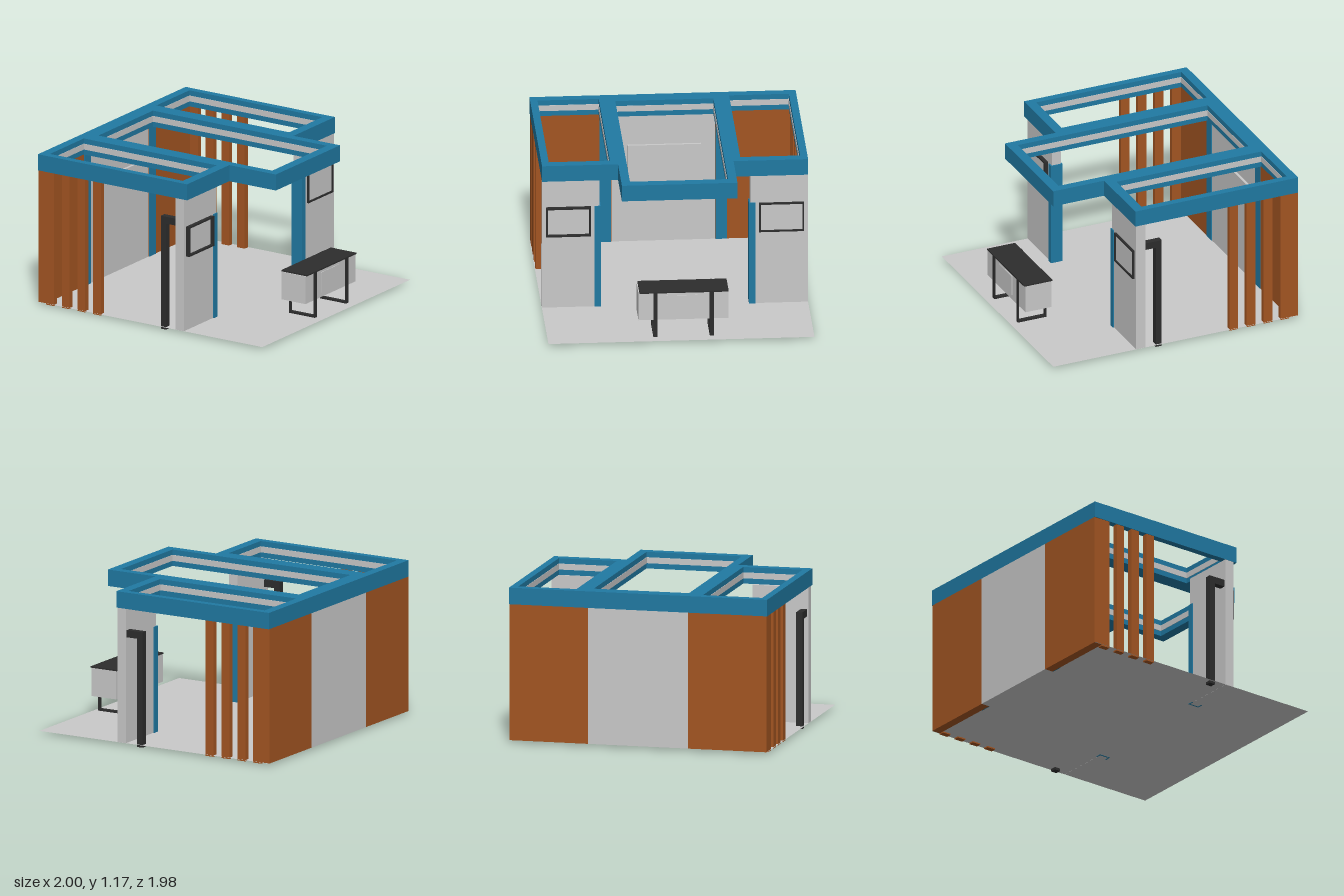
import * as THREE from 'three';

const mat = (name, color, extra = {}) => {
  const m = new THREE.MeshStandardMaterial({ color, ...extra });
  m.name = name;
  return m;
};

export function createModel() {
  const model = new THREE.Group();
  model.name = 'exhibitionStand';

  const blue = mat('blue', 0x2079a2);
  const wood = mat('wood', 0xa35522);
  const grey = mat('lightGrey', 0xc9c9c9, { side: THREE.DoubleSide });
  const black = mat('black', 0x2d2d2d);

  // Box given by its extents on each axis
  const box = (name, material, [x0, x1], [y0, y1], [z0, z1], parent = model) => {
    const mesh = new THREE.Mesh(new THREE.BoxGeometry(x1 - x0, y1 - y0, Math.abs(z1 - z0)), material);
    mesh.position.set((x0 + x1) / 2, (y0 + y1) / 2, (z0 + z1) / 2);
    mesh.name = name;
    parent.add(mesh);
    return mesh;
  };
  const group = (name) => {
    const g = new THREE.Group();
    g.name = name;
    model.add(g);
    return g;
  };

  // Floor sheet
  const floor = new THREE.Mesh(new THREE.PlaneGeometry(2, 1.98).rotateX(-Math.PI / 2), grey);
  floor.position.y = 0.02;
  floor.name = 'floor';
  model.add(floor);

  // Overhead frame with three openings
  const outline = [[-1, -0.99], [0.33, -0.99], [0.33, -0.435], [0.745, -0.435],
    [0.745, 0.425], [0.33, 0.425], [0.33, 0.99], [-1, 0.99]];
  const openings = [
    [-0.93, 0.255, -0.935, -0.49],
    [-0.88, 0.67, -0.37, 0.36],
    [-0.93, 0.255, 0.48, 0.935],
  ];
  const toPoints = (list) => list.map(([x, z]) => new THREE.Vector2(x, z));
  const shape = new THREE.Shape(toPoints(outline));
  for (const [a, b, c, d] of openings) {
    shape.holes.push(new THREE.Path(toPoints([[a, c], [a, d], [b, d], [b, c]])));
  }
  const frameGeo = new THREE.ExtrudeGeometry(shape, { depth: 0.125, bevelEnabled: false });
  frameGeo.rotateX(Math.PI / 2).translate(0, 1.17, 0);
  const frame = new THREE.Mesh(frameGeo, blue);
  frame.name = 'overheadFrame';
  model.add(frame);

  // Light strips lining each opening
  const strips = group('lightStrips');
  const sy = [1.085, 1.13], t = 0.003;
  for (const [a, b, c, d] of openings) {
    box('lightStrip', grey, [a, b], sy, [c, c + t], strips);
    box('lightStrip', grey, [a, b], sy, [d - t, d], strips);
    box('lightStrip', grey, [a, a + t], sy, [c, d], strips);
    box('lightStrip', grey, [b - t, b], sy, [c, d], strips);
  }

  // Back wall with its screen
  box('backWallCentre', grey, [-1, -0.93], [0.019, 1.045], [-0.385, 0.385]);
  box('wallScreen', grey, [-0.93, -0.91], [0.41, 0.795], [-0.28, 0.265]);

  // Pieces repeated on both ends; dx is the small shift between the two ends
  for (const [s, dx] of [[1, 0], [-1, 0.022]]) {
    box('backWallSide', wood, [-1, -0.93], [0.019, 1.045], [s * 0.385, s * 0.985]);
    box('wallStripe', blue, [-0.93, -0.924], [0.019, 1.045], [s * 0.39, s * 0.475]);

    // Row of slats
    for (let i = 0; i < 4; i++) {
      const x = -0.93 + i * 0.139;
      box('slat', wood, [x, x + 0.07], [0.01, 1.045], [s * 0.943, s * 0.985]);
    }

    // Front column
    box('column', grey, [0.225 + dx, 0.3 + dx], [0.019, 1.045], [s * 0.56, s * 0.988]);

    // Channel wrapped round the column's inner edge
    const channel = group('columnChannel');
    const cy = [0.018, 0.828];
    box('channelWeb', blue, [0.216 + dx, 0.309 + dx], cy, [s * 0.55, s * 0.56], channel);
    box('channelFlange', blue, [0.216 + dx, 0.225 + dx], cy, [s * 0.56, s * 0.597], channel);
    box('channelFlange', blue, [0.3 + dx, 0.309 + dx], cy, [s * 0.56, s * 0.597], channel);

    // Framed screen on the column
    const screen = group('columnScreen');
    const sx = [0.3 + dx, 0.316 + dx + (s > 0 ? 0.014 : 0)];
    const z0 = 0.625, z1 = 0.96, w = 0.013;
    box('screenPanel', grey, [sx[0], sx[0] + 0.006], [0.6, 0.82], [s * (z0 + w), s * (z1 - w)], screen);
    box('screenBottom', black, sx, [0.595, 0.595 + w], [s * z0, s * z1], screen);
    box('screenTop', black, sx, [0.827 - w, 0.827], [s * z0, s * z1], screen);
    box('screenSide', black, sx, [0.595 + w, 0.827 - w], [s * z0, s * (z0 + w)], screen);
    box('screenSide', black, sx, [0.595 + w, 0.827 - w], [s * (z1 - w), s * z1], screen);

    // Post with an arm reaching the column
    const post = group('bracketPost');
    const pz = [s * 0.93, s * 0.978];
    box('post', black, [0.087 + dx, 0.135 + dx], [0, 0.88], pz, post);
    box('arm', black, [0.135 + dx, 0.225 + dx], [0.826, 0.88], pz, post);
  }

  // Counter
  const counter = group('counter');
  box('counterBody', grey, [0.724, 0.936], [0.165, 0.38], [-0.355, 0.315], counter);
  box('counterTop', black, [0.716, 0.945], [0.38, 0.39], [-0.355, 0.308], counter);
  box('counterPanel', grey, [0.936, 0.941], [0.203, 0.358], [-0.123, 0.108], counter);
  for (const z of [0.19, -0.23]) {
    const lz = [z - 0.015, z + 0.015];
    box('counterLeg', black, [0.714, 0.724], [0.03, 0.39], lz, counter);
    box('counterLeg', black, [0.936, 0.946], [0.03, 0.39], lz, counter);
    box('counterFoot', black, [0.724, 0.936], [0.03, 0.045], lz, counter);
  }

  return model;
}
